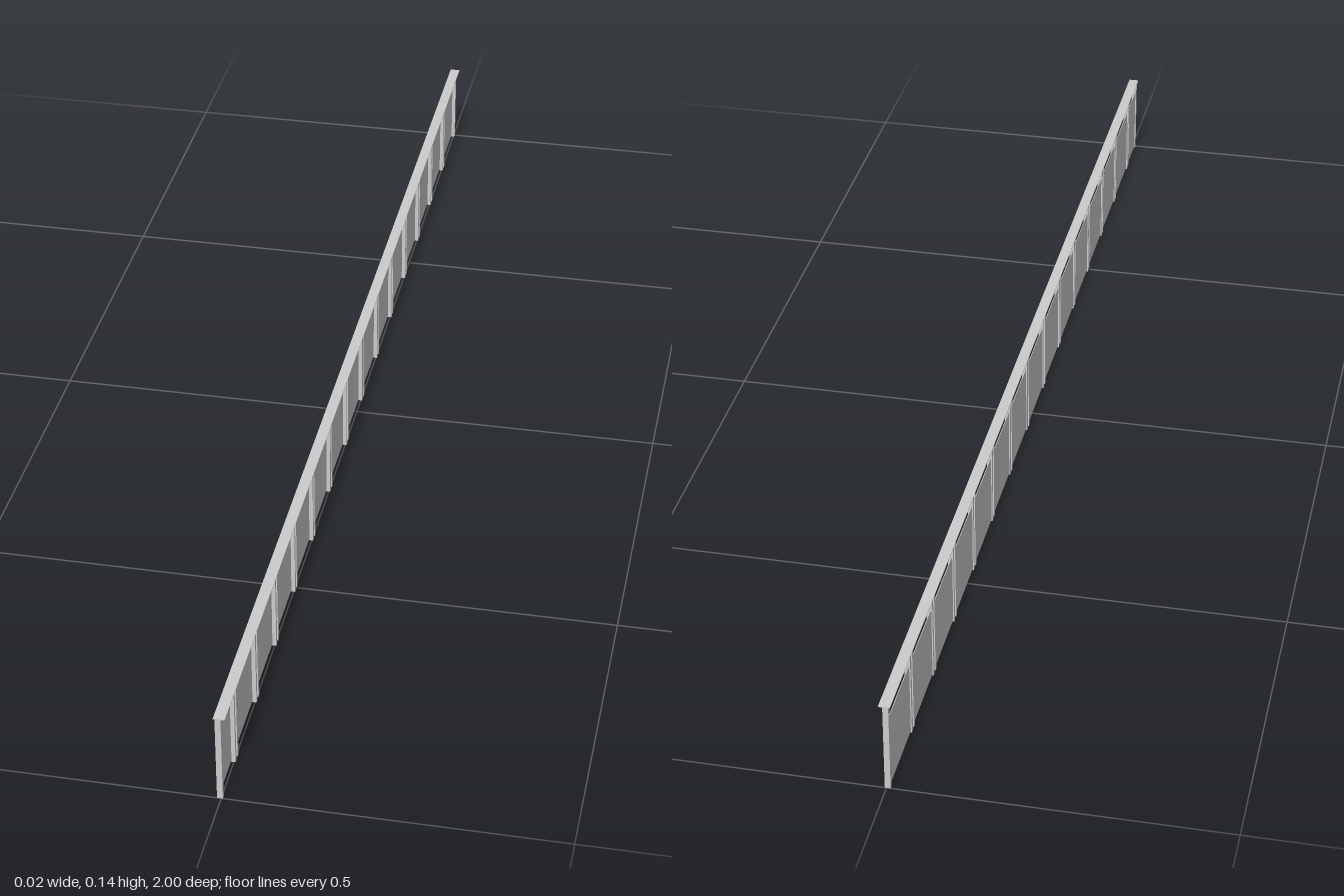
import * as THREE from 'three';

const material = new THREE.MeshStandardMaterial({ color: 0xcccccc, flatShading: true });

const HEIGHT = 0.143;
const RAIL = [0.017, 0.0012]; // flat handrail: width, thickness
const POST = [0.0085, 0.006]; // flat bar: depth along x, width along z
const POST_X = -0.0018;       // bars sit slightly off the rail's centre line
const PAIR = 0.0065;          // half distance between the bars of a pair
const BAY = 0.1365;           // spacing of the pairs

function addBox(parent, name, [w, h, d], [x, y, z]) {
  const mesh = new THREE.Mesh(new THREE.BoxGeometry(w, h, d), material);
  mesh.name = name;
  mesh.position.set(x, y, z);
  parent.add(mesh);
}

export function createModel() {
  const railing = new THREE.Group();
  railing.name = 'railing';

  // Flat handrail along the whole length
  addBox(railing, 'handrail', [...RAIL, 2], [0, HEIGHT - RAIL[1] / 2, 0]);

  // Single bars at both ends, pairs of bars between the bays
  const postHeight = HEIGHT - RAIL[1];
  const bars = [1 - POST[1] / 2, -1 + POST[1] / 2];
  for (let k = 0; k < 14; k++) {
    const z = 0.911 - k * BAY;
    bars.push(z + PAIR, z - PAIR);
  }
  for (const z of bars) {
    addBox(railing, 'post', [POST[0], postHeight, POST[1]], [POST_X, postHeight / 2, z]);
  }

  // Thin infill panel towards the outer side, open gap below the handrail
  const bottom = 0.003, top = 0.12;
  addBox(railing, 'panel', [0.001, top - bottom, 1.99], [-0.004, (top + bottom) / 2, 0]);

  return railing;
}
